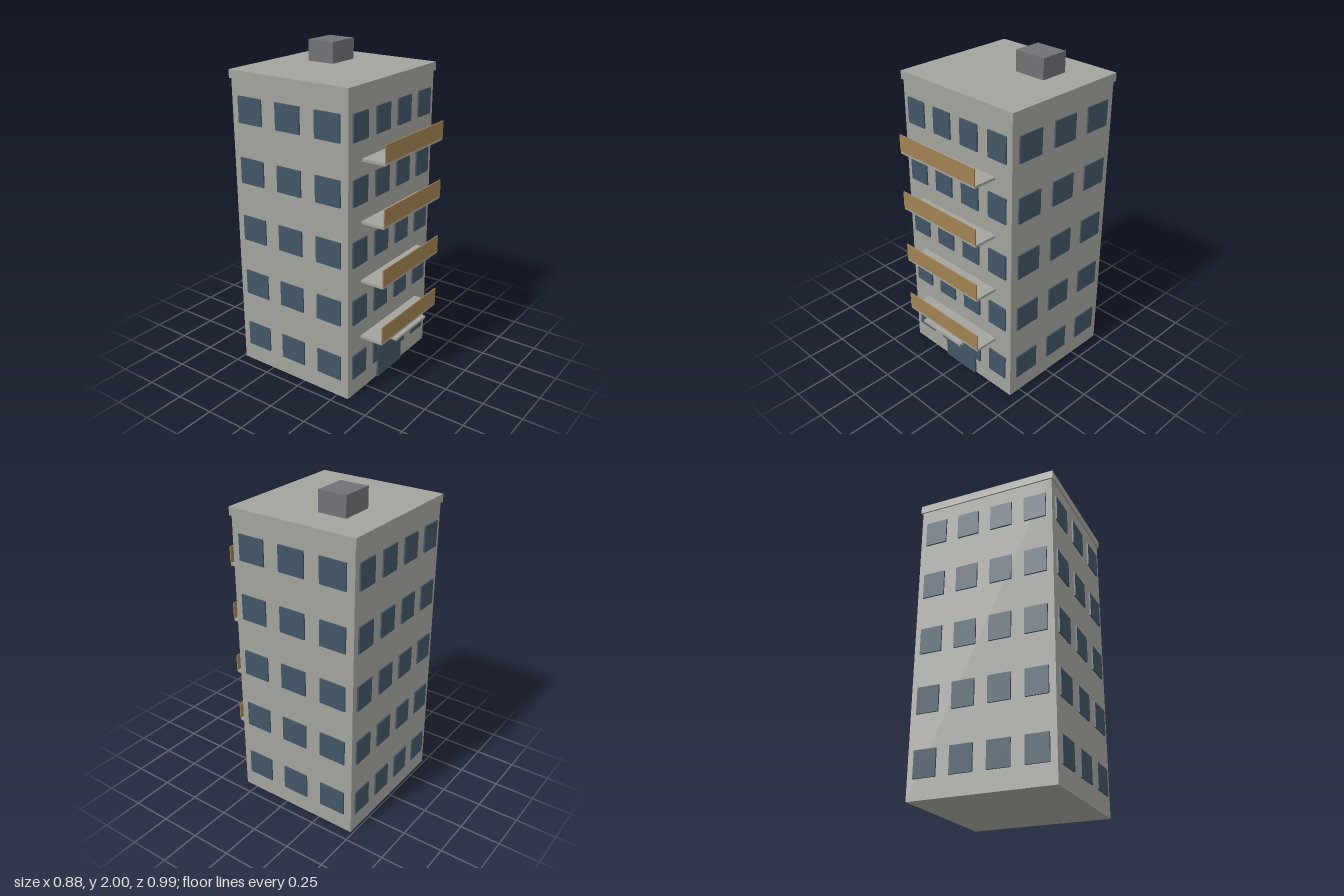
import * as THREE from 'three';

const FLOORS = 5, STOREY = 0.364;
const HALF_W = 0.432, BACK = -0.485, FRONT = 0.33;
const MID_Z = (BACK + FRONT) / 2;

export function createModel() {
  const model = new THREE.Group();
  model.name = 'apartmentBlock';

  const material = (name, color) => {
    const m = new THREE.MeshStandardMaterial({ color });
    m.name = name;
    return m;
  };
  const concrete = material('concrete', 0xa3a39d);
  const glass = material('blueGlass', 0x425766);
  const panel = material('ochrePanel', 0xa08252);
  const plant = material('darkGrey', 0x717176);

  // Box given by its lower and upper corners
  const box = (name, mat, [x0, y0, z0], [x1, y1, z1], parent = model) => {
    const mesh = new THREE.Mesh(new THREE.BoxGeometry(x1 - x0, y1 - y0, z1 - z0), mat);
    mesh.position.set((x0 + x1) / 2, (y0 + y1) / 2, (z0 + z1) / 2);
    mesh.name = name;
    parent.add(mesh);
    return mesh;
  };

  // Main block, roof slab and rooftop plant room
  box('walls', concrete, [-HALF_W, 0, BACK], [HALF_W, 1.85, FRONT]);
  box('roofSlab', concrete, [-0.442, 1.825, BACK - 0.009], [0.442, 1.875, FRONT + 0.009]);
  box('plantRoom', plant, [0.027, 1.875, -0.291], [0.236, 2, -0.111]);

  // Windows: four per storey on front and back, three on each side
  const windows = new THREE.Group();
  windows.name = 'windows';
  model.add(windows);
  const out = 0.0098, h = 0.157;
  for (let floor = 0; floor < FLOORS; floor++) {
    const y = 0.118 + floor * STOREY;
    for (let i = 0; i < 4; i++) {
      const x = (i - 1.5) * 0.217, w = 0.068;
      box('frontWindow', glass, [x - w, y, FRONT], [x + w, y + h, FRONT + out], windows);
      box('backWindow', glass, [x - w, y, BACK - out], [x + w, y + h, BACK], windows);
    }
    for (let i = -1; i <= 1; i++) {
      const z = MID_Z + i * 0.273, w = 0.085;
      box('leftWindow', glass, [HALF_W, y, z - w], [HALF_W + out, y + h, z + w], windows);
      box('rightWindow', glass, [-HALF_W - out, y, z - w], [-HALF_W, y + h, z + w], windows);
    }
  }

  // Balconies: slab with a thin front panel
  for (let floor = 1; floor < FLOORS; floor++) {
    const y = 0.359 + (floor - 1) * STOREY;
    const balcony = new THREE.Group();
    balcony.name = 'balcony';
    model.add(balcony);
    box('balconySlab', concrete, [-0.305, y, FRONT], [0.305, y + 0.016, 0.479], balcony);
    box('balconyPanel', panel, [-0.305, y + 0.016, 0.475], [0.305, y + 0.118, 0.482], balcony);
  }

  // Entrance with canopy
  box('entranceDoor', glass, [-0.131, 0, FRONT], [0.131, 0.313, FRONT + 0.013]);
  box('entranceCanopy', concrete, [-0.168, 0.328, FRONT], [0.168, 0.344, 0.495]);

  return model;
}
